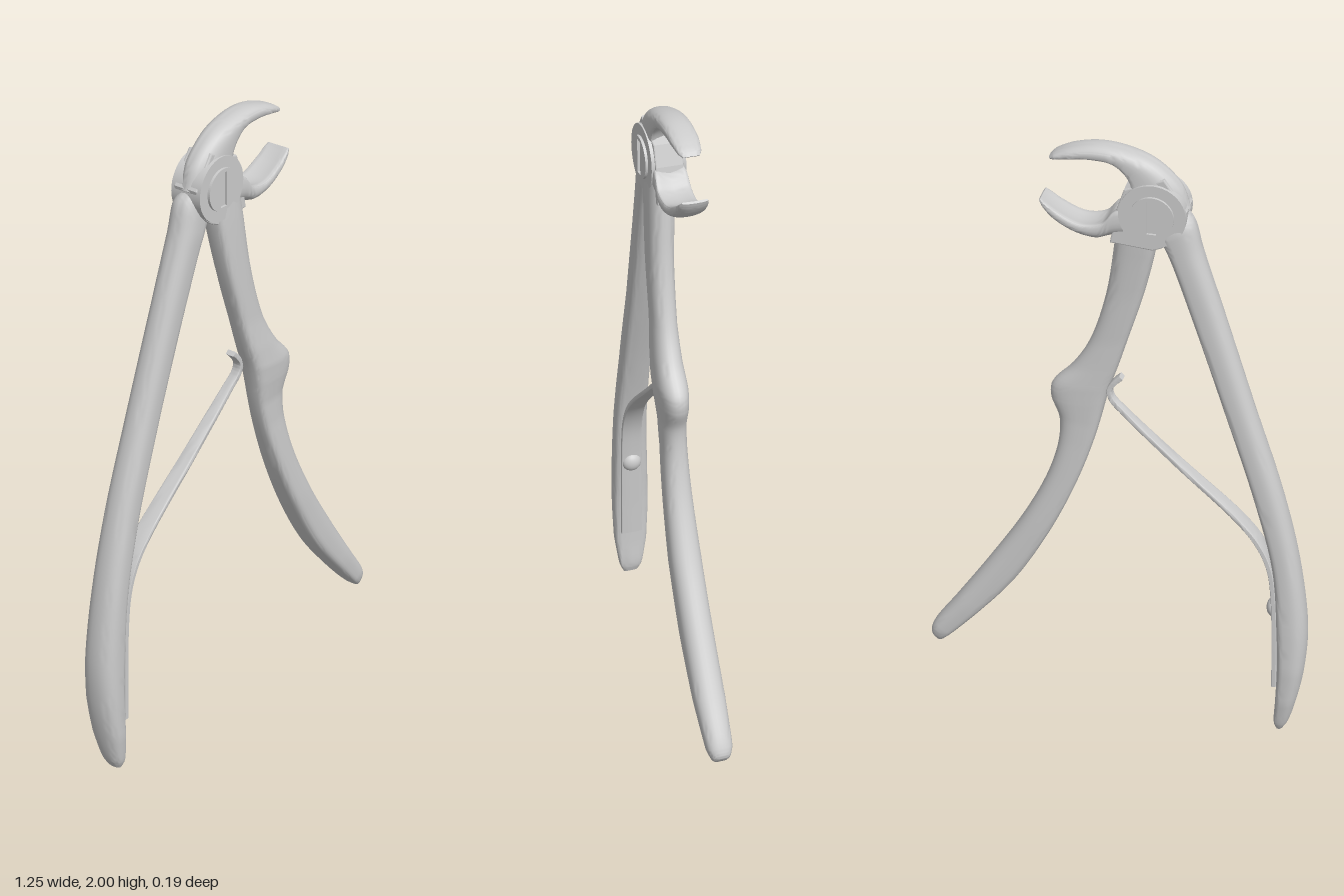
import * as THREE from 'three';
import { toCreasedNormals } from 'three/addons/utils/BufferGeometryUtils.js';

const material = new THREE.MeshStandardMaterial({ color: 0xcccccc });
const PIVOT = [-0.12, 1.81];

function add(group, name, geometry) {
  const mesh = new THREE.Mesh(geometry, material);
  mesh.name = name;
  group.add(mesh);
  return mesh;
}

// Smooth loft. Each station: [outerX, outerY, innerX, innerY, zCentre, halfDepth].
// nOut / nIn square off the outer / inner half of the section, cup hollows the inner face.
function loft(stations, { nOut = 2.3, nIn = 4, cup = 0, steps = 6, sides = 28 } = {}) {
  const curve = (f) => new THREE.CatmullRomCurve3(stations.map(f), false, 'centripetal');
  const outer = curve((s) => new THREE.Vector3(s[0], s[1], 0));
  const inner = curve((s) => new THREE.Vector3(s[2], s[3], 0));
  const rows = (stations.length - 1) * steps;
  const pos = [], index = [], centres = [];
  const power = (v, n) => Math.sign(v) * Math.pow(Math.abs(v), 2 / n);
  let turn = 0;
  for (let i = 0; i <= rows; i++) {
    const t = i / rows, k = Math.min(Math.floor(i / steps), stations.length - 2);
    const f = i / steps - k, a = stations[k], b = stations[k + 1];
    const z = THREE.MathUtils.lerp(a[4], b[4], f), h = THREE.MathUtils.lerp(a[5], b[5], f);
    const o = outer.getPoint(t), n = inner.getPoint(t);
    const c = o.clone().add(n).multiplyScalar(0.5), u = o.clone().sub(c);
    if (i) {
      const d = c.clone().sub(centres[i - 1]);
      turn += u.y * d.x - u.x * d.y;
    }
    centres.push(c.setZ(z));
    for (let j = 0; j < sides; j++) {
      const ang = (j / sides) * Math.PI * 2, cs = Math.cos(ang);
      const e = cs > 0 ? nOut : nIn;
      const v = power(Math.sin(ang), e);
      let w = power(cs, e);
      if (cs < -1e-6) w += cup * (1 - v * v);
      pos.push(c.x + u.x * w, c.y + u.y * w, z + h * v);
    }
  }
  const tri = (a, b, c) => (turn > 0 ? index.push(a, b, c) : index.push(a, c, b));
  const first = (rows + 1) * sides, last = first + 1;
  for (const c of [centres[0], centres[rows]]) pos.push(c.x, c.y, c.z);
  for (let j = 0; j < sides; j++) {
    const q = (j + 1) % sides;
    for (let i = 0; i < rows; i++) {
      const a = i * sides, b = a + sides;
      tri(a + j, a + q, b + q);
      tri(a + j, b + q, b + j);
    }
    tri(first, q, j);
    tri(last, rows * sides + j, rows * sides + q);
  }
  const g = new THREE.BufferGeometry();
  g.setAttribute('position', new THREE.Float32BufferAttribute(pos, 3));
  g.setIndex(index);
  return toCreasedNormals(g, 0.6);
}

// Flat bar along a path of [x, y, zCentre, halfWidth]
function strip(path, thickness) {
  return loft(path.map(([x, y, z, h], i) => {
    const a = path[Math.max(i - 1, 0)], b = path[Math.min(i + 1, path.length - 1)];
    const l = Math.hypot(b[0] - a[0], b[1] - a[1]);
    const nx = (-(b[1] - a[1]) / l) * thickness / 2, ny = ((b[0] - a[0]) / l) * thickness / 2;
    return [x + nx, y + ny, x - nx, y - ny, z, h];
  }), { nOut: 8, nIn: 8, sides: 24 });
}

function disc(radius, depth, z) {
  const g = new THREE.CylinderGeometry(radius, radius, depth, 40);
  g.rotateX(Math.PI / 2);
  g.translate(PIVOT[0], PIVOT[1], z);
  return g;
}

export function createModel() {
  const model = new THREE.Group();
  model.name = 'extractionPliers';

  // Straight handle on the right side
  add(model, 'rightHandle', loft([
    [-0.215, 1.82, -0.10, 1.76, 0, 0.04],
    [-0.237, 1.79, -0.14, 1.725, -0.005, 0.045],
    [-0.262, 1.70, -0.165, 1.68, -0.005, 0.046],
    [-0.33, 1.50, -0.24, 1.48, -0.012, 0.044],
    [-0.43, 1.20, -0.345, 1.18, -0.022, 0.045],
    [-0.53, 0.90, -0.445, 0.88, -0.028, 0.048],
    [-0.592, 0.65, -0.508, 0.64, -0.03, 0.053],
    [-0.625, 0.42, -0.53, 0.42, -0.034, 0.058],
    [-0.623, 0.27, -0.538, 0.27, -0.035, 0.06],
    [-0.605, 0.14, -0.537, 0.13, -0.032, 0.055],
    [-0.58, 0.035, -0.535, 0.03, -0.028, 0.038],
    [-0.565, 0.005, -0.543, 0.003, -0.027, 0.025],
  ]));

  // Curved handle with a finger spur on the left side
  add(model, 'leftHandle', loft([
    [-0.01, 1.78, -0.13, 1.76, 0.015, 0.04],
    [0.0, 1.70, -0.12, 1.68, 0.02, 0.04],
    [0.03, 1.50, -0.085, 1.52, 0.03, 0.037],
    [0.08, 1.335, -0.035, 1.35, 0.036, 0.036],
    [0.135, 1.24, -0.005, 1.25, 0.041, 0.041],
    [0.20, 1.165, 0.018, 1.18, 0.043, 0.045],
    [0.203, 1.12, 0.034, 1.12, 0.042, 0.043],
    [0.178, 1.05, 0.053, 1.04, 0.039, 0.037],
    [0.18, 0.97, 0.078, 0.95, 0.039, 0.037],
    [0.215, 0.84, 0.13, 0.80, 0.042, 0.042],
    [0.30, 0.66, 0.215, 0.61, 0.045, 0.048],
    [0.42, 0.465, 0.33, 0.41, 0.046, 0.049],
    [0.53, 0.30, 0.455, 0.255, 0.046, 0.048],
    [0.615, 0.175, 0.56, 0.14, 0.045, 0.04],
    [0.623, 0.145, 0.59, 0.113, 0.045, 0.027],
    [0.615, 0.13, 0.60, 0.112, 0.045, 0.018],
  ]));

  // Hooked upper jaw
  add(model, 'upperJaw', loft([
    [-0.222, 1.825, -0.03, 1.79, 0.005, 0.046],
    [-0.195, 1.895, -0.037, 1.85, 0.005, 0.047],
    [-0.12, 1.962, -0.033, 1.905, 0.006, 0.046],
    [-0.03, 1.993, 0.002, 1.946, 0.006, 0.044],
    [0.05, 2.0, 0.06, 1.955, 0.006, 0.043],
    [0.125, 1.985, 0.12, 1.952, 0.006, 0.041],
    [0.172, 1.963, 0.162, 1.946, 0.006, 0.034],
    [0.186, 1.95, 0.178, 1.944, 0.006, 0.024],
  ], { cup: 0.5 }));

  // Beaked lower jaw
  add(model, 'lowerJaw', loft([
    [-0.09, 1.73, -0.08, 1.84, 0.004, 0.045],
    [0.0, 1.722, -0.012, 1.826, 0.004, 0.05],
    [0.05, 1.71, 0.025, 1.78, 0.004, 0.052],
    [0.115, 1.726, 0.085, 1.765, 0.004, 0.05],
    [0.18, 1.765, 0.15, 1.79, 0.004, 0.047],
    [0.207, 1.80, 0.195, 1.817, 0.004, 0.043],
    [0.214, 1.818, 0.207, 1.824, 0.004, 0.038],
  ], { cup: 0.5 }));

  // Joint body between handles and jaws
  const body = new THREE.Shape();
  body.moveTo(-0.2, 1.76);
  body.quadraticCurveTo(-0.17, 1.715, -0.12, 1.7);
  body.lineTo(0.0, 1.712);
  body.lineTo(-0.02, 1.82);
  body.lineTo(-0.04, 1.88);
  body.lineTo(-0.15, 1.92);
  body.lineTo(-0.215, 1.83);
  add(model, 'jointBody', new THREE.ExtrudeGeometry(body, {
    depth: 0.076, bevelEnabled: true, bevelSize: 0.004, bevelThickness: 0.004, bevelSegments: 2,
  }).translate(0, 0, -0.034));
  add(model, 'jointDisc', disc(0.098, 0.104, 0.004));

  // Slotted screw head on each face
  for (const side of [1, -1]) {
    const face = new THREE.Shape().absarc(0, 0, 0.064, 0, Math.PI * 2);
    const slot = new THREE.Path();
    [[-0.014, -0.052], [-0.014, 0.052], [0.014, 0.052], [0.014, -0.052]].forEach(([x, y], i) =>
      (i ? slot.lineTo(x, y) : slot.moveTo(x, y)));
    slot.closePath();
    face.holes.push(slot);
    const screw = add(model, side > 0 ? 'frontScrew' : 'backScrew',
      new THREE.ExtrudeGeometry(face, { depth: 0.009, bevelEnabled: false, curveSegments: 32 }));
    screw.position.set(PIVOT[0], PIVOT[1], 0.004 + side * 0.051);
    if (side < 0) screw.rotation.y = Math.PI;
  }

  // Leaf spring and its rivet
  add(model, 'leafSpring', strip([
    [-0.53, 0.18, -0.025, 0.035], [-0.524, 0.35, -0.025, 0.035], [-0.515, 0.52, -0.024, 0.034],
    [-0.498, 0.63, -0.022, 0.033], [-0.462, 0.71, -0.02, 0.031], [-0.40, 0.785, -0.016, 0.028],
    [-0.2, 0.96, -0.006, 0.022], [-0.03, 1.115, 0.004, 0.016], [0.008, 1.155, 0.008, 0.015],
    [0.014, 1.185, 0.01, 0.015], [-0.002, 1.212, 0.01, 0.015], [-0.022, 1.232, 0.01, 0.015],
  ], 0.016));
  const rivet = add(model, 'springRivet', new THREE.SphereGeometry(0.033, 24, 16));
  rivet.scale.x = 0.75;
  rivet.position.set(-0.517, 0.475, -0.025);

  return model;
}
